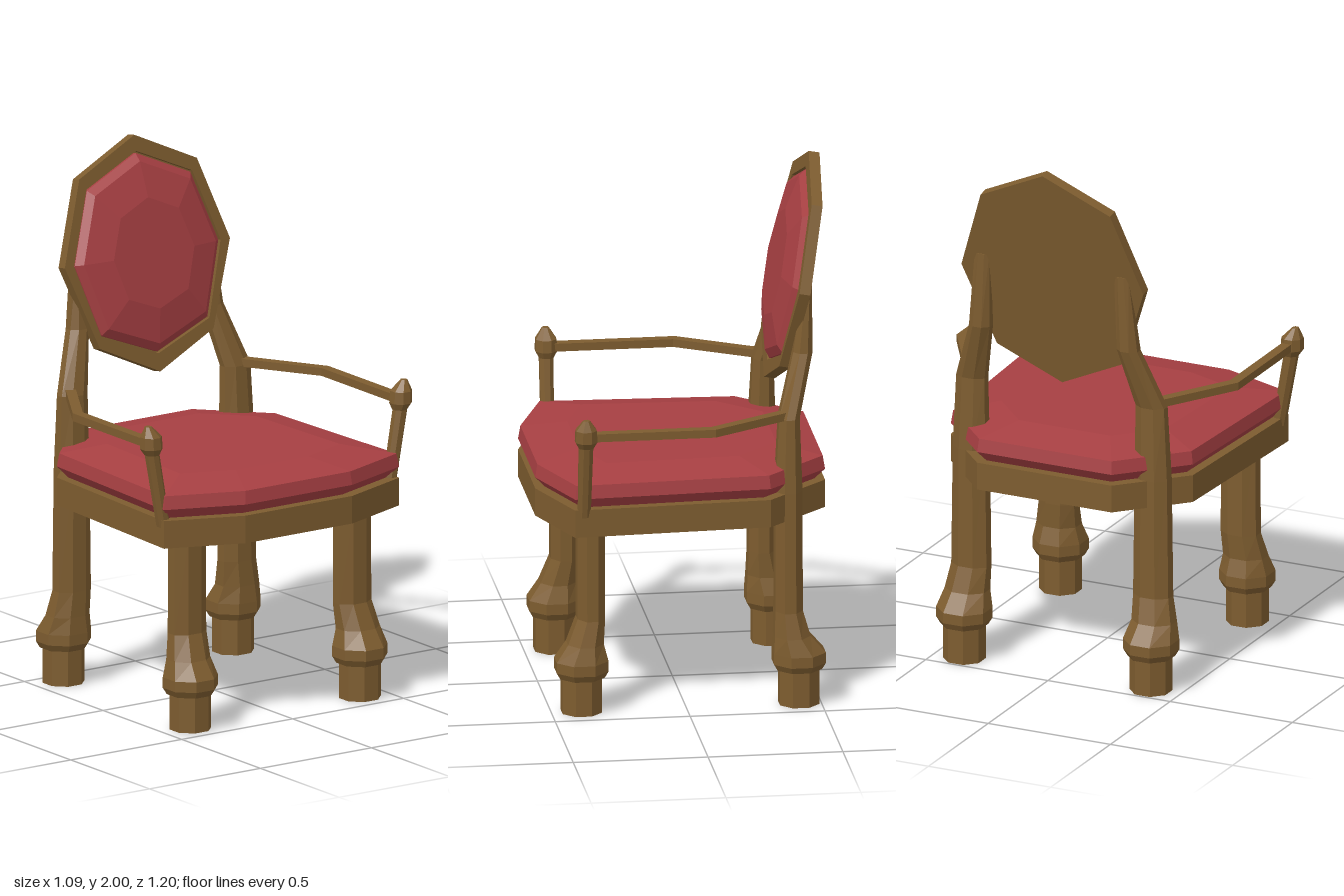
import * as THREE from 'three';

const wood = new THREE.MeshStandardMaterial({ color: 0x7d5c2f, flatShading: true });
wood.name = 'brown wood';
const fabric = new THREE.MeshStandardMaterial({ color: 0xa63f42, flatShading: true });
fabric.name = 'red fabric';

// Joins convex cross-sections into a closed, faceted solid
function loft(rings) {
  const pos = [];
  const tri = (a, b, c) => pos.push(...a, ...b, ...c);
  const n = rings[0].length;
  for (let r = 0; r < rings.length - 1; r++) {
    for (let i = 0; i < n; i++) {
      const j = (i + 1) % n;
      const [a, b, c, d] = [rings[r][i], rings[r][j], rings[r + 1][j], rings[r + 1][i]];
      tri(a, b, c);
      tri(a, c, d);
    }
  }
  const first = rings[0], last = rings[rings.length - 1];
  for (let i = 1; i < n - 1; i++) {
    tri(first[0], first[i + 1], first[i]);
    tri(last[0], last[i], last[i + 1]);
  }
  const geo = new THREE.BufferGeometry();
  geo.setAttribute('position', new THREE.Float32BufferAttribute(pos, 3));
  geo.computeVertexNormals();
  return geo;
}

// Horizontal octagon given its centre and half widths
function octagon(x, y, z, hx, hz = hx) {
  const k = 1 / Math.cos(Math.PI / 8);
  return Array.from({ length: 8 }, (_, i) => {
    const a = (i + 0.5) * Math.PI / 4;
    return [x + hx * k * Math.cos(a), y, z - hz * k * Math.sin(a)];
  });
}

// Rectangular bar following a level path
function bar(points, halfWidth, halfHeight) {
  const up = new THREE.Vector3(0, 1, 0);
  return loft(points.map((p, i) => {
    const dirs = [];
    if (i > 0) dirs.push(p.clone().sub(points[i - 1]).normalize());
    if (i < points.length - 1) dirs.push(points[i + 1].clone().sub(p).normalize());
    const dir = dirs.reduce((s, d) => s.add(d), new THREE.Vector3()).normalize();
    const side = new THREE.Vector3().crossVectors(up, dir).multiplyScalar(halfWidth / dir.dot(dirs[0]));
    return [[1, -1], [1, 1], [-1, 1], [-1, -1]].map(([u, v]) =>
      p.clone().addScaledVector(side, u).addScaledVector(up, v * halfHeight).toArray());
  }));
}

export function createModel() {
  const model = new THREE.Group();
  const add = (name, geo, mat) => {
    const mesh = new THREE.Mesh(geo, mat);
    mesh.name = name;
    model.add(mesh);
  };

  // Seat frame and cushion share one outline
  const outline = [[0.54, 0.24], [0.54, -0.24], [0.43, -0.53], [-0.30, -0.495],
    [-0.53, -0.275], [-0.53, 0.275], [-0.30, 0.495], [0.43, 0.53]];
  const seatRing = (y, s) => outline.map(([x, z]) => [x * s, y, z * s]);
  add('seatFrame', loft([seatRing(0.715, 1), seatRing(0.82, 1)]), wood);
  add('seatCushion', loft([seatRing(0.815, 0.92), seatRing(0.862, 1),
    seatRing(0.912, 0.985), seatRing(0.945, 0.68)]), fabric);

  for (const s of [1, -1]) {
    const side = s > 0 ? 'Left' : 'Right';
    const z = 0.372 * s, fz = 0.382 * s;

    // Legs, swelling outward above a stepped foot
    const leg = (d, foot, knuckle, shaft) => [
      octagon(foot, 0, fz, 0.073), octagon(foot, 0.135, fz, 0.073),
      octagon(foot, 0.135, fz, 0.082), octagon(foot, 0.16, fz, 0.096),
      octagon(foot, 0.20, fz, 0.096), octagon(knuckle, 0.265, fz, 0.066, 0.08),
      octagon(shaft, 0.36, z, 0.051, 0.072)];
    add('frontLeg' + side, loft([...leg(1, 0.388, 0.375, 0.353),
      octagon(0.353, 0.73, z, 0.051, 0.07)]), wood);

    // Back legs carry on upward as the stiles behind the backrest
    add('backLegAndStile' + side, loft([...leg(-1, -0.418, -0.392, -0.38),
      octagon(-0.38, 0.82, z, 0.05, 0.066), octagon(-0.383, 1.10, 0.367 * s, 0.038, 0.058),
      octagon(-0.442, 1.33, 0.302 * s, 0.036, 0.042),
      octagon(-0.463, 1.62, 0.285 * s, 0.015, 0.03)]), wood);

    // Arm: leaning post, finial and bent rail
    add('armPost' + side, loft([octagon(0.395, 0.79, 0.508 * s, 0.024),
      octagon(0.394, 1.09, 0.562 * s, 0.026)]), wood);
    add('armFinial' + side, loft([octagon(0.394, 1.07, 0.558 * s, 0.027),
      octagon(0.394, 1.095, 0.562 * s, 0.04), octagon(0.394, 1.14, 0.564 * s, 0.038),
      octagon(0.394, 1.18, 0.576 * s, 0.012)]), wood);
    add('armRail' + side, bar([[0.39, 0.557], [-0.08, 0.557], [-0.39, 0.372]]
      .map(([x, rz]) => new THREE.Vector3(x, 1.11, rz * s)), 0.019, 0.015), wood);
  }

  // Backrest, made upright and then tilted back
  const outer = [[0, 0.44], [-0.265, 0.314], [-0.372, 0], [-0.256, -0.318],
    [0, -0.44], [0.256, -0.318], [0.372, 0], [0.265, 0.314]];
  const inner = [[0, 0.38], [-0.238, 0.272], [-0.33, 0], [-0.243, -0.277],
    [0, -0.373], [0.243, -0.277], [0.33, 0], [0.238, 0.272]];
  const tilt = geo => geo.rotateY(Math.PI / 2).rotateZ(0.19).translate(-0.463, 1.5625, 0);
  const points = list => list.map(([u, v]) => new THREE.Vector2(u, v));
  const ring = new THREE.Shape(points(outer));
  ring.holes.push(new THREE.Path(points(inner)));
  add('backrestFrame', tilt(new THREE.ExtrudeGeometry(ring, { depth: 0.041, bevelEnabled: false })), wood);
  const backRing = (list, w, k = 1) => list.map(([u, v]) => [u * k, v * k, w]);
  add('backrestPanel', tilt(loft([backRing(inner, 0), backRing(inner, 0.02)])), wood);
  add('backrestCushion', tilt(loft([backRing(inner, 0.015, 0.98), backRing(inner, 0.035, 0.98),
    backRing(inner, 0.058, 0.9), backRing(inner, 0.085, 0.55)])), fabric);

  return model;
}
